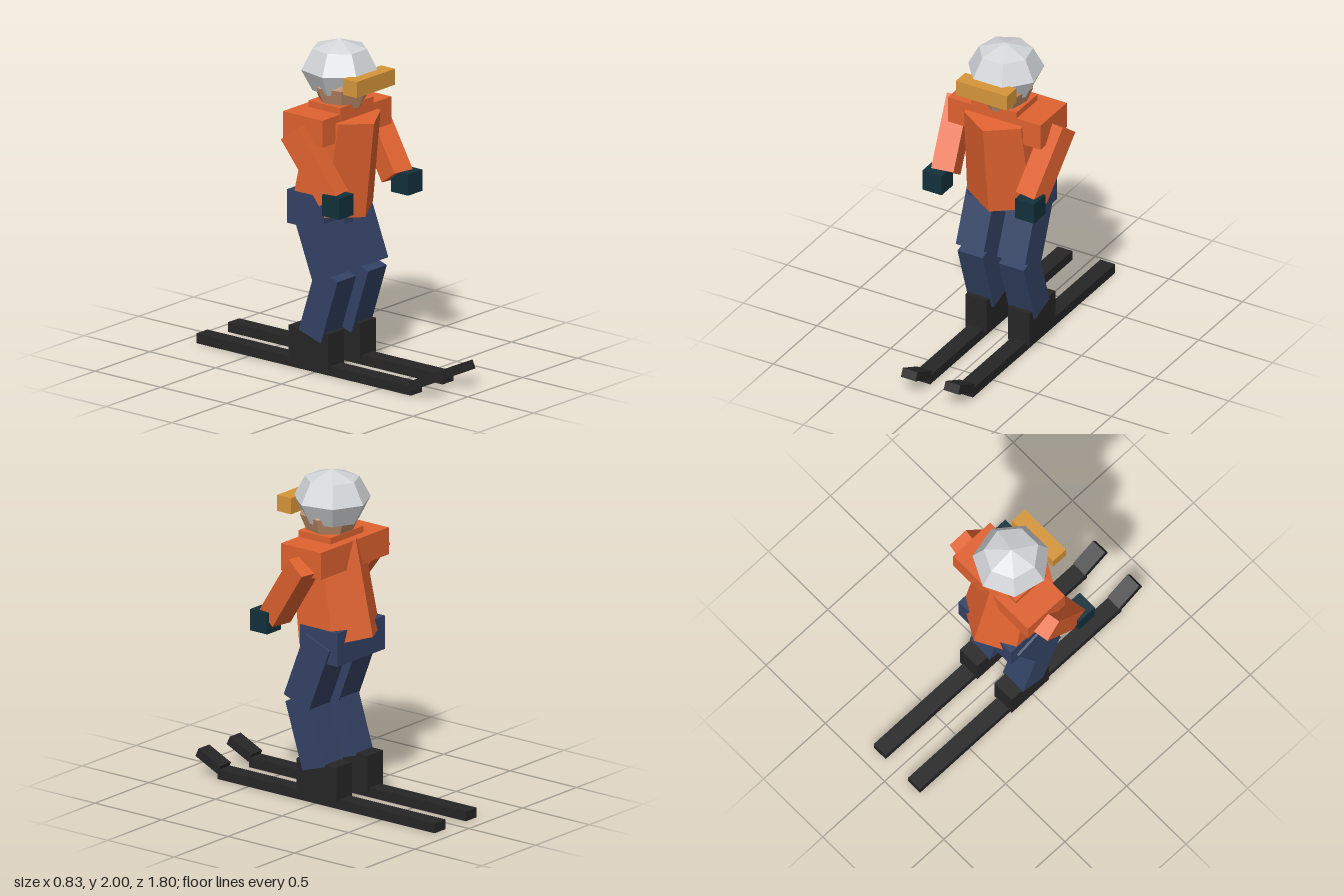
import * as THREE from 'three';

const mat = (name, color) => {
  const m = new THREE.MeshStandardMaterial({ color });
  m.name = name;
  return m;
};

export function createModel() {
  const group = new THREE.Group();
  const orange = mat('jacketOrange', 0xe0622f);
  const navy = mat('trouserNavy', 0x334265);
  const black = mat('skiBlack', 0x262626);
  const teal = mat('gloveDarkTeal', 0x12303c);
  const grey = mat('helmetGrey', 0xd3d6d9);
  const skin = mat('skin', 0xc8936e);
  const amber = mat('goggleAmber', 0xd6963a);

  const add = (name, geometry, material, pos, rx = 0, ry = 0) => {
    const mesh = new THREE.Mesh(geometry, material);
    mesh.name = name;
    mesh.position.set(...pos);
    mesh.rotation.set(rx, ry, 0, 'YXZ');
    group.add(mesh);
    return mesh;
  };
  const box = (name, size, material, pos, rx, ry) =>
    add(name, new THREE.BoxGeometry(...size), material, pos, rx, ry);
  // Faceted copy with one normal per face
  const facet = (geometry) => {
    const g = geometry.toNonIndexed();
    g.computeVertexNormals();
    return g;
  };
  // Seven-sided ball; turn places one column of corners to the front or back
  const ball = (radius, turn) =>
    facet(new THREE.SphereGeometry(radius, 7, 4).rotateY(turn));

  // Skis, legs and arms, mirrored
  for (const [side, s] of [['left', 1], ['right', -1]]) {
    box(side + 'Ski', [0.1, 0.06, 1.63], black, [0.145 * s, 0.03, -0.085]);
    box(side + 'SkiTip', [0.1, 0.055, 0.18], black, [0.145 * s, 0.095, 0.804], -0.436);
    box(side + 'Boot', [0.145, 0.22, 0.3], black, [0.145 * s, 0.15, -0.03]);
    box(side + 'Shin', [0.17, 0.42, 0.175], navy, [0.14 * s, 0.422, 0.05], 0.31);
    box(side + 'Thigh', [0.19, 0.43, 0.2], navy, [0.14 * s, 0.805, 0.03], -0.37);
    box(side + 'Arm', [0.14, 0.452, 0.14], orange, [0.312 * s, 1.315, 0.095], -0.61, -0.17 * s);
    box(side + 'Glove', [0.13, 0.13, 0.13], teal, [0.314 * s, 1.105, 0.274]);
  }

  // Body
  box('pelvis', [0.44, 0.205, 0.28], navy, [0, 0.985, -0.05]);
  add('torso', facet(new THREE.CylinderGeometry(0.2225, 0.2535, 0.586, 6)), orange, [0, 1.276, 0.02], 0.165);
  box('shoulders', [0.63, 0.165, 0.3], orange, [0, 1.513, 0.007]);
  box('collar', [0.305, 0.085, 0.243], orange, [0, 1.592, 0.037]);

  // Head and gear
  add('head', ball(0.18, Math.PI / 2), skin, [0, 1.73, 0.045]);
  add('helmet', ball(0.228, -Math.PI / 2), grey, [0, 1.82, 0.027]).scale.set(1, 0.79, 1.02);
  box('goggles', [0.347, 0.098, 0.105], amber, [0, 1.778, 0.249]);

  return group;
}
